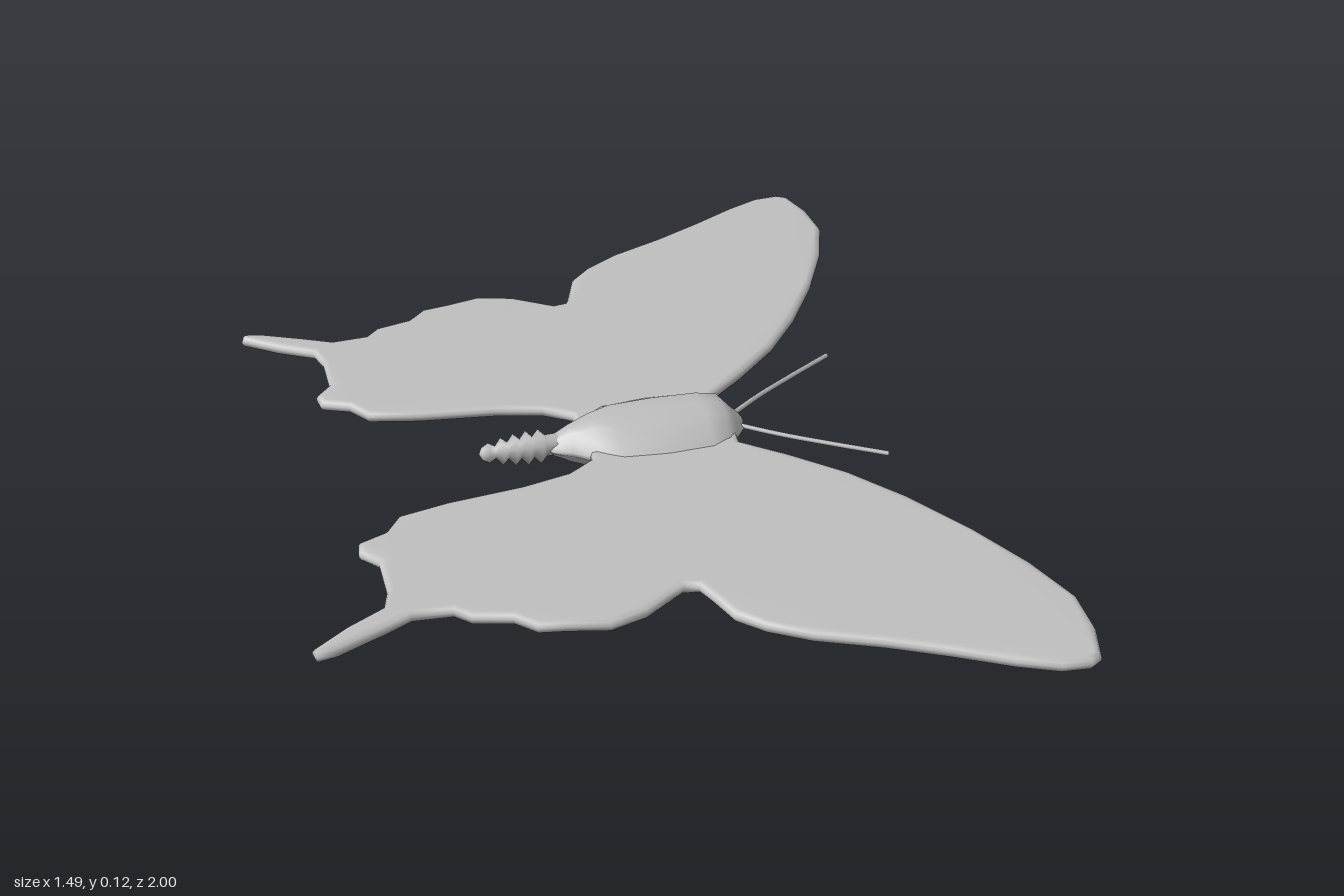
import * as THREE from 'three';
import { mergeVertices } from 'three/addons/utils/BufferGeometryUtils.js';

const MID = 0.0625; // height of the wing plane

// Outline of one wing pair: x along the body, then distance from the body axis
const OUTLINE = [
  [0.27, 0], [0.26, 0.1], [0.35, 0.175], [0.45, 0.27], [0.54, 0.385], [0.63, 0.53], [0.7, 0.67],
  [0.745, 0.8], [0.74, 0.9], [0.715, 0.985], [0.69, 1], [0.63, 0.995], [0.55, 0.96], [0.44, 0.9],
  [0.33, 0.845], [0.2, 0.79], [0.12, 0.74], [0.07, 0.69], [0.045, 0.62], [0.03, 0.585], [0, 0.58],
  [-0.03, 0.6], [-0.09, 0.64], [-0.17, 0.663], [-0.25, 0.645], [-0.31, 0.635], [-0.35, 0.595],
  [-0.43, 0.575], [-0.46, 0.545], [-0.54, 0.54], [-0.6, 0.57], [-0.7, 0.615], [-0.74, 0.622],
  [-0.745, 0.6], [-0.67, 0.545], [-0.59, 0.5], [-0.575, 0.45], [-0.575, 0.35], [-0.61, 0.31],
  [-0.605, 0.275], [-0.545, 0.25], [-0.51, 0.2], [-0.4, 0.175], [-0.235, 0.155], [-0.13, 0.13],
  [-0.07, 0.09], [-0.06, 0],
];

// Weld a geometry and give it smooth normals
function smooth(geometry) {
  geometry.deleteAttribute('uv');
  geometry.deleteAttribute('normal');
  const welded = mergeVertices(geometry, 1e-5);
  welded.computeVertexNormals();
  return welded;
}

// Thin wing plate with a soft bevelled rim
function wingGeometry(side) {
  const shape = new THREE.Shape(OUTLINE.map(([x, z]) => new THREE.Vector2(x, z * side)));
  const depth = 0.006;
  const bevel = 0.015;
  const geometry = new THREE.ExtrudeGeometry(shape, {
    depth, bevelThickness: 0.01, bevelSize: bevel, bevelOffset: -bevel, bevelSegments: 2,
  });
  geometry.translate(0, 0, -depth / 2);
  geometry.rotateX(Math.PI / 2);
  return smooth(geometry);
}

// Thorax and head lofted along x from faceted lens-shaped sections
function bodyGeometry() {
  const stations = [ // x, half width, half height
    [-0.16, 0.004, 0.004], [-0.14, 0.03, 0.018], [-0.1, 0.048, 0.038], [-0.05, 0.085, 0.052],
    [0, 0.12, 0.058], [0.1, 0.13, 0.06], [0.2, 0.125, 0.059], [0.245, 0.1, 0.055],
    [0.27, 0.06, 0.03], [0.29, 0.035, 0.012], [0.297, 0.004, 0.003],
  ];
  const quarter = [[1, 0.12], [0.68, 0.5], [0.38, 0.95], [0, 1]];
  const upper = [...quarter, ...quarter.slice(0, 3).reverse().map(([z, y]) => [-z, y])];
  const section = [...upper, ...upper.filter(([z]) => true).reverse().map(([z, y]) => [z, -y])];
  const n = section.length;
  const positions = [];
  const index = [];
  stations.forEach(([x, w, h], i) => {
    section.forEach(([z, y]) => positions.push(x, 0.06 + y * h, z * w));
    if (i === 0) return;
    for (let j = 0; j < n; j++) {
      const a = (i - 1) * n + j;
      const b = (i - 1) * n + (j + 1) % n;
      index.push(a, a + n, b, b, a + n, b + n);
    }
  });
  // Close both ends
  const last = (stations.length - 1) * n;
  for (let j = 1; j < n - 1; j++) {
    index.push(0, j, j + 1, last, last + j + 1, last + j);
  }
  const geometry = new THREE.BufferGeometry();
  geometry.setAttribute('position', new THREE.Float32BufferAttribute(positions, 3));
  geometry.setIndex(index);
  geometry.computeVertexNormals();
  return geometry;
}

// Ridged, tapering abdomen turned around the x axis
function abdomenGeometry() {
  const profile = [new THREE.Vector2(0, -0.3), new THREE.Vector2(0.014, -0.293)];
  const ridges = [0.022, 0.03, 0.035, 0.038, 0.038];
  ridges.forEach((r, i) => {
    const x = -0.277 + i * 0.028;
    profile.push(new THREE.Vector2(r, x), new THREE.Vector2(r * 0.62, x + 0.014));
  });
  profile.push(new THREE.Vector2(0.025, -0.1));
  const geometry = new THREE.LatheGeometry(profile, 12);
  geometry.rotateZ(-Math.PI / 2); // lathe axis y becomes +x
  return geometry;
}

// Slender antenna with a slight bend
function antennaGeometry(side) {
  const path = new THREE.CatmullRomCurve3([
    new THREE.Vector3(0.27, 0, 0.015 * side),
    new THREE.Vector3(0.36, 0, 0.083 * side),
    new THREE.Vector3(0.46, 0, 0.148 * side),
    new THREE.Vector3(0.565, 0, 0.213 * side),
  ]);
  return new THREE.TubeGeometry(path, 12, 0.006, 6);
}

export function createModel() {
  const group = new THREE.Group();
  group.name = 'butterfly';
  const grey = new THREE.MeshStandardMaterial({ color: 0xc0c0c0 });
  grey.name = 'grey';
  grey.side = THREE.DoubleSide;

  function add(name, geometry, y = 0) {
    const mesh = new THREE.Mesh(geometry, grey);
    mesh.name = name;
    mesh.position.y = y;
    group.add(mesh);
  }

  add('body', bodyGeometry());
  add('abdomen', abdomenGeometry(), MID);
  for (const [label, side] of [['front', 1], ['back', -1]]) {
    add(label + 'Wings', wingGeometry(side), MID);
    add(label + 'Antenna', antennaGeometry(side), MID);
  }
  return group;
}
